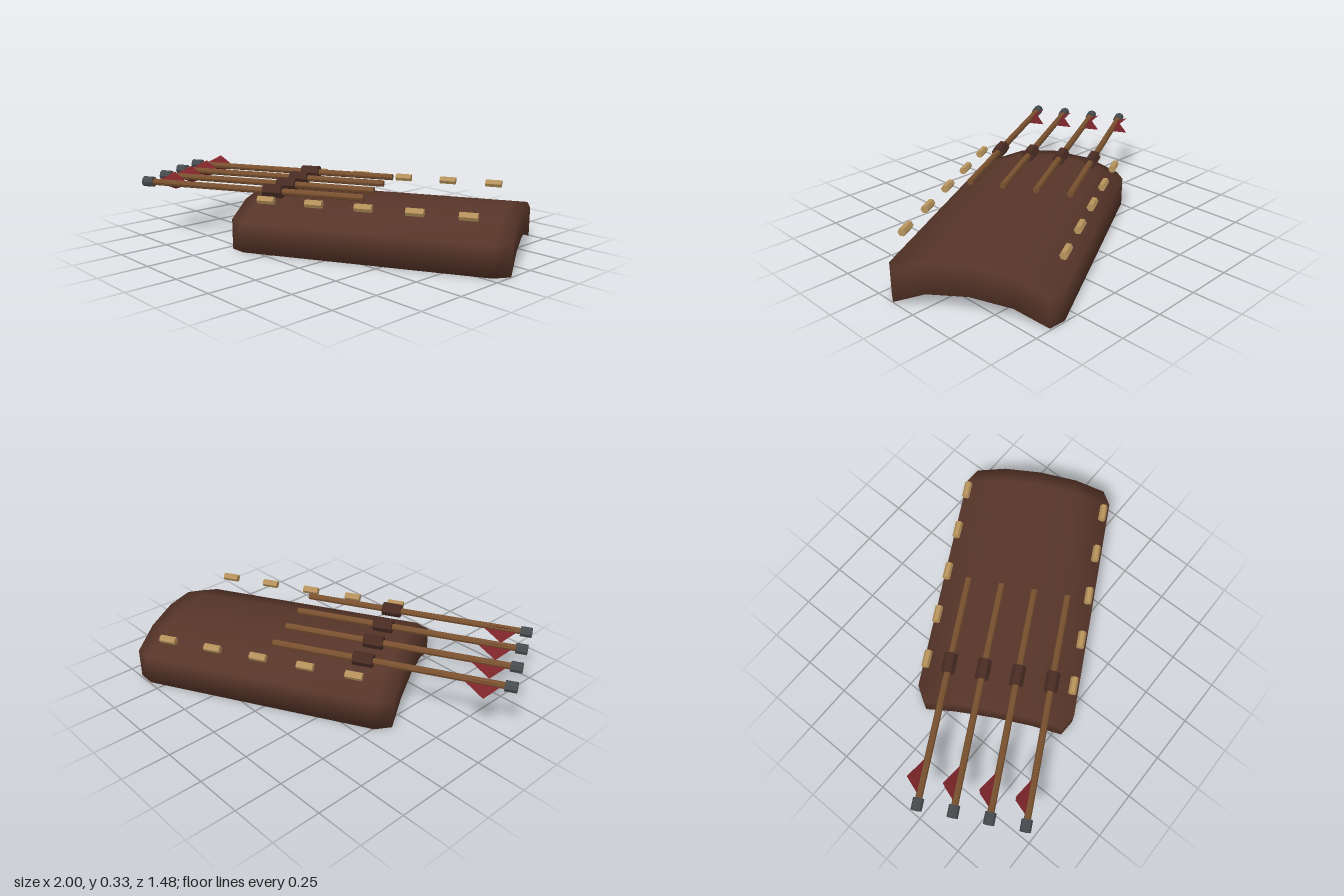
import * as THREE from 'three';
import { mergeVertices } from 'three/addons/utils/BufferGeometryUtils.js';

const flat = (name, color) => new THREE.MeshStandardMaterial({ name, color, flatShading: true });
const leather = new THREE.MeshStandardMaterial({ name: 'brown leather', color: 0x573529 });
const wrapLeather = flat('dark leather', 0x4a2c24);
const wood = flat('wood', 0x79512f);
const thread = flat('tan thread', 0xb8945c);
const metal = flat('dark metal', 0x484b4e);
const feather = flat('red feather', 0x7a2429);
feather.side = THREE.DoubleSide;

function addMesh(parent, name, geometry, material, x = 0, y = 0, z = 0) {
  const mesh = new THREE.Mesh(geometry, material);
  mesh.name = name;
  mesh.position.set(x, y, z);
  parent.add(mesh);
  return mesh;
}

// Cylinder lying along x
const rod = (radius, length, sides) =>
  new THREE.CylinderGeometry(radius, radius, length, sides).rotateZ(Math.PI / 2);

// Arched slab with clipped corners and soft edges
function archedSlab() {
  const us = [-0.687, -0.61, 0.61, 0.687];
  const vs = [-0.404, -0.2, 0, 0.2, 0.404];
  const thickness = 0.152;
  let geo = new THREE.BoxGeometry(3, 1, 4, 3, 1, 4);
  const p = geo.attributes.position;
  for (let i = 0; i < p.count; i++) {
    const iu = Math.round(p.getX(i) + 1.5);
    const iv = Math.round(p.getZ(i) + 2);
    const clipped = (iu === 0 || iu === 3) && (iv === 0 || iv === 4);
    const rise = 0.09 * (1 - (vs[iv] / 0.404) ** 2);
    p.setXYZ(i, us[iu], (p.getY(i) + 0.5) * thickness + rise, vs[iv] * (clipped ? 0.89 : 1));
  }
  geo.deleteAttribute('normal');
  geo.deleteAttribute('uv');
  geo = mergeVertices(geo, 1e-4);
  geo.computeVertexNormals();
  return geo;
}

// Triangular vane standing on the shaft, leaning by an angle from -z
function vane(angle) {
  const r = 0.086;
  const geo = new THREE.BufferGeometry();
  geo.setAttribute('position', new THREE.Float32BufferAttribute([
    -0.93, 0, 0,
    -0.73, 0, 0,
    -0.853, r * Math.sin(angle), -r * Math.cos(angle),
  ], 3));
  geo.computeVertexNormals();
  return geo;
}

export function createModel() {
  const model = new THREE.Group();
  model.name = 'quiver';

  // Everything is laid out along x, then turned as a whole
  const set = new THREE.Group();
  set.name = 'quiverAndArrows';
  set.rotation.y = THREE.MathUtils.degToRad(28);
  model.add(set);

  addMesh(set, 'quiverBody', archedSlab(), leather, 0.244, 0, 0.016);

  // Stitches along both long edges
  const stitchGeo = rod(0.02, 0.085, 6);
  for (const side of [-1, 1]) {
    for (let i = 0; i < 5; i++) {
      addMesh(set, 'stitch', stitchGeo, thread, -0.25 + i * 0.246, 0.266, 0.015 + side * 0.373);
    }
  }

  // Four arrows side by side
  const shaftGeo = rod(0.017, 1.18, 8);
  const wrapGeo = rod(0.035, 0.1, 6);
  const capGeo = rod(0.027, 0.058, 8);
  const vaneGeos = [vane(0.56), vane(-0.56)];
  for (let i = 0; i < 4; i++) {
    const arrow = new THREE.Group();
    arrow.name = 'arrow';
    arrow.position.set(0, 0.288, -0.239 + i * 0.173);
    set.add(arrow);
    addMesh(arrow, 'shaft', shaftGeo, wood, -0.38);
    addMesh(arrow, 'gripWrap', wrapGeo, wrapLeather, -0.259);
    addMesh(arrow, 'endCap', capGeo, metal, -0.966);
    for (const geo of vaneGeos) addMesh(arrow, 'vane', geo, feather);
  }
  return model;
}
